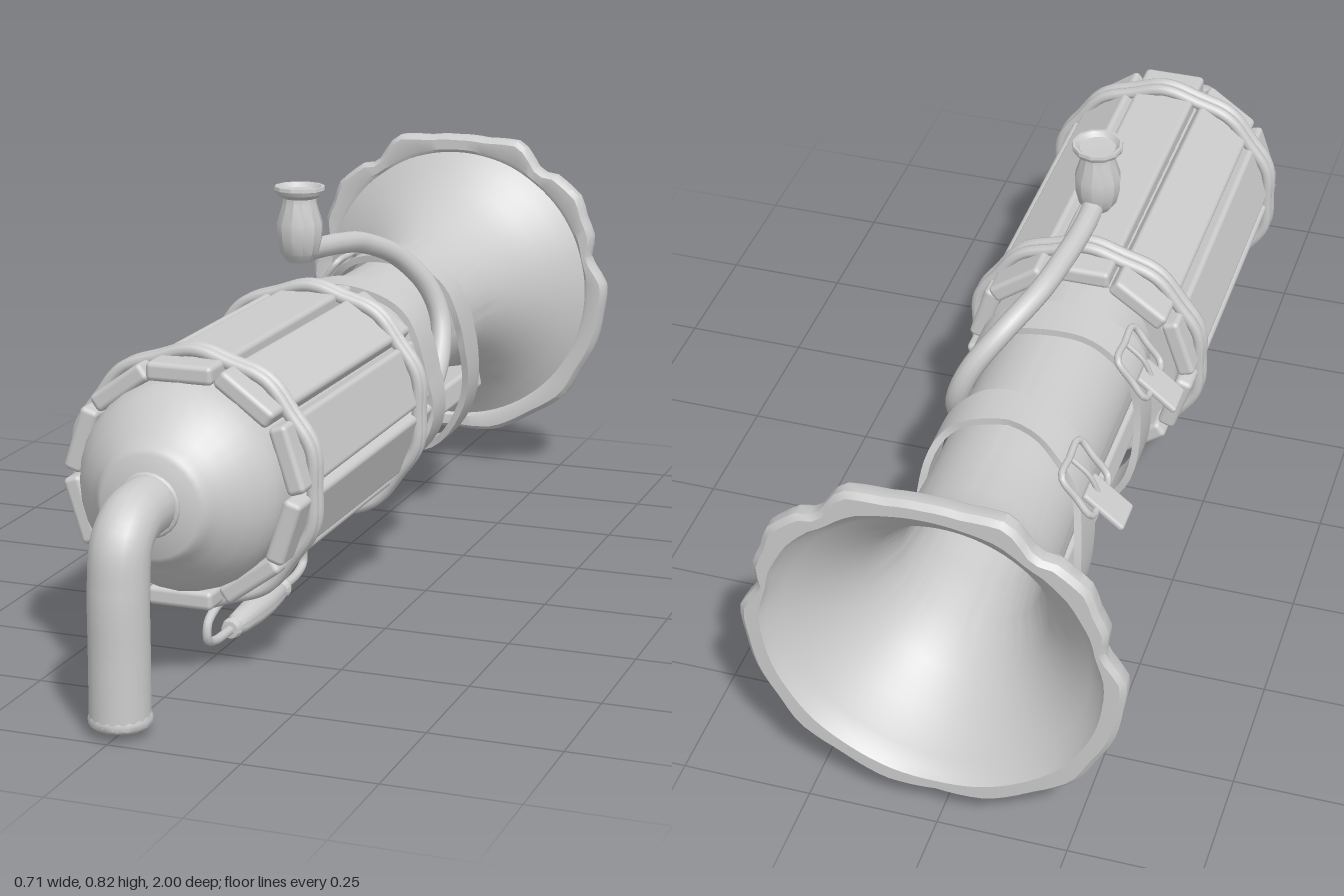
import * as THREE from 'three';
import { mergeVertices, toCreasedNormals } from 'three/addons/utils/BufferGeometryUtils.js';
import { RoundedBoxGeometry } from 'three/addons/geometries/RoundedBoxGeometry.js';

const V = (x, y, z) => new THREE.Vector3(x, y, z);
const grey = new THREE.MeshStandardMaterial({ color: 0xcccccc });
const greyDouble = new THREE.MeshStandardMaterial({ color: 0xcccccc, side: THREE.DoubleSide });
const BODY_Y = 0.38, NECK_Y = 0.43;

function add(parent, name, geometry, x = 0, y = 0, z = 0, material = grey) {
  const mesh = new THREE.Mesh(geometry, material);
  mesh.name = name;
  mesh.position.set(x, y, z);
  parent.add(mesh);
  return mesh;
}

// Profile of [radius, height] pairs turned around the y axis
const lathe = (profile, sides) =>
  new THREE.LatheGeometry(profile.map(([r, h]) => new THREE.Vector2(r, h)), sides);

// The same, turned around the z axis
const latheZ = (profile, sides) => lathe(profile, sides).rotateX(Math.PI / 2);

const tube = (points, radius, segments = 48, sides = 10, closed = false) =>
  new THREE.TubeGeometry(new THREE.CatmullRomCurve3(points, closed), segments, radius, sides, closed);

// Ragged rim radius against height angle in degrees, same on both sides
const RIM = [[-90, 0.345], [-74, 0.358], [-58, 0.352], [-43, 0.363], [-32, 0.353], [-20, 0.356], [-8, 0.353],
  [3, 0.358], [14, 0.326], [22, 0.35], [30, 0.353], [37, 0.366], [50, 0.355], [54, 0.335], [66, 0.372], [78, 0.351],
  [90, 0.348]];
function rimRadius(deg) {
  const i = Math.max(1, RIM.findIndex(([a]) => deg <= a + 0.01));
  const [a, r] = RIM[i - 1], [b, s] = RIM[i];
  return r + (s - r) * (deg - a) / (b - a);
}

function hornGeometry() {
  const geo = latheZ([[0, -0.3], [0.118, -0.3], [0.122, -0.66], [0.135, -0.76], [0.175, -0.85], [0.23, -0.92],
    [0.285, -0.965], [0.308, -0.985], [0.318, -1], [0.345, -1], [0.355, -0.99], [0.355, -0.968], [0.345, -0.956],
    [0.318, -0.956], [0.31, -0.962], [0.275, -0.94], [0.235, -0.905], [0.195, -0.85], [0.168, -0.79], [0.15, -0.72],
    [0.145, -0.6], [0.145, -0.04]], 96);
  const p = geo.attributes.position;
  for (let i = 0; i < p.count; i++) {
    const x = p.getX(i), y = p.getY(i);
    const t = THREE.MathUtils.smoothstep(Math.hypot(x, y), 0.305, 0.345);
    const deg = THREE.MathUtils.radToDeg(Math.atan2(y, Math.abs(x)));
    const k = 1 + t * (rimRadius(deg) / 0.355 - 1);
    p.setXY(i, x * k, y * k);
  }
  geo.deleteAttribute('normal');
  geo.deleteAttribute('uv');
  return toCreasedNormals(mergeVertices(geo), 0.7);
}

// Closed band of given width and thickness following a counterclockwise loop of [x, y] points
function strapGeometry(loop, width, thickness, zAt) {
  const curve = new THREE.CatmullRomCurve3(loop.map(([x, y]) => V(x, y, 0)), true);
  const n = 56, pos = [], idx = [];
  for (let i = 0; i < n; i++) {
    const c = curve.getPoint(i / n), t = curve.getTangent(i / n);
    const z = zAt(c.x, c.y), w = width / 2 * (1 + 0.08 * Math.sin(i * 0.7));
    for (const [side, out] of [[-1, 0], [-1, 1], [1, 1], [1, 0]])
      pos.push(c.x + t.y * out * thickness, c.y - t.x * out * thickness, z + side * w);
    for (let k = 0; k < 4; k++) {
      const a = i * 4 + k, b = i * 4 + (k + 1) % 4, j = ((i + 1) % n) * 4;
      const c2 = j + k, d = j + (k + 1) % 4;
      idx.push(a, c2, b, b, c2, d);
    }
  }
  const geo = new THREE.BufferGeometry();
  geo.setAttribute('position', new THREE.Float32BufferAttribute(pos, 3));
  geo.setIndex(idx);
  return toCreasedNormals(geo, 0.8);
}

// Wire frame, prong and loose strap end
function buckle(parent, x, y, z, angle) {
  const g = new THREE.Group();
  g.name = 'buckle';
  g.position.set(x, y, z);
  g.rotation.z = angle;
  const w = 0.048, d = 0.056;
  const frame = [[-w, -d], [0, -d - 0.003], [w, -d], [w + 0.003, 0], [w, d], [0, d + 0.003], [-w, d], [-w - 0.003, 0]];
  add(g, 'buckleFrame', tube(frame.map(([a, b]) => V(a, 0.016, b)), 0.007, 40, 8, true));
  add(g, 'buckleProng', tube([V(-w, 0.016, 0), V(0, 0.026, 0), V(w, 0.016, 0)], 0.005, 10, 6));
  const end = add(g, 'strapEnd', new RoundedBoxGeometry(0.1, 0.014, 0.07, 2, 0.006), -0.065, 0.022, 0);
  end.rotation.z = -0.25;
  parent.add(g);
}

function plankGeometry(i, length) {
  const geo = new RoundedBoxGeometry(0.127, 0.036, length, 2, 0.01);
  const p = geo.attributes.position;
  for (let k = 0; k < p.count; k++) {
    const s = 1 + 0.04 * Math.sin(i * 2.3 + Math.sign(p.getZ(k)) * 1.4 + Math.sign(p.getX(k)));
    p.setX(k, p.getX(k) * s);
  }
  return geo;
}

export function createModel() {
  const model = new THREE.Group();
  model.name = 'hornDevice';

  // Flared horn with its neck
  add(model, 'horn', hornGeometry(), 0, NECK_Y, 0, greyDouble);

  // Barrel core and domed nose
  add(model, 'barrelCore', toCreasedNormals(latheZ([[0, -0.055], [0.197, -0.055], [0.197, 0.665], [0.193, 0.682],
    [0.182, 0.705], [0.158, 0.737], [0.13, 0.765], [0.112, 0.785], [0.104, 0.8], [0.095, 0.806], [0, 0.806]], 32), 0.7),
    0, BODY_Y, 0);

  // Planks around the barrel
  for (let i = 0; i < 10; i++) {
    const a = Math.PI / 2 + i * Math.PI / 5;
    const back = -0.075 + 0.012 * Math.sin(i * 4.1), front = 0.665 + 0.012 * Math.sin(i * 2.7 + 1);
    const plank = add(model, 'plank', plankGeometry(i, front - back),
      0.211 * Math.cos(a), BODY_Y + 0.211 * Math.sin(a), (front + back) / 2);
    plank.rotation.z = a - Math.PI / 2;
  }

  // Paired wire hoops that dip between the planks
  for (const z of [0.605, 0.58, 0.013, -0.012]) {
    const pts = [];
    for (let i = 0; i < 60; i++) {
      const a = i / 60 * Math.PI * 2, r = 0.236 + 0.004 * Math.cos(10 * (a - Math.PI / 2));
      pts.push(V(r * Math.cos(a), r * Math.sin(a), 0));
    }
    add(model, 'hoop', tube(pts, 0.012, 120, 8, true), 0, BODY_Y, z);
  }

  // Bent spout at the front with a lip and closed end
  add(model, 'spout', tube([V(0, 0.385, 0.78), V(0, 0.386, 0.84), V(0, 0.378, 0.89), V(0, 0.345, 0.928),
    V(0, 0.27, 0.941), V(0, 0.15, 0.942), V(0, 0.03, 0.943)], 0.055, 40, 18));
  add(model, 'spoutLip', toCreasedNormals(lathe([[0, 0.022], [0.052, 0.022], [0.057, 0.027], [0.058, 0.038],
    [0.054, 0.047]], 18), 0.7), 0, 0, 0.941);
  add(model, 'spoutCollar', new THREE.TorusGeometry(0.054, 0.007, 8, 24), 0, 0.385, 0.81);

  // Mouthpiece and its curling pipe
  add(model, 'mouthpiece', toCreasedNormals(lathe([[0, 0.675], [0.025, 0.678], [0.038, 0.695], [0.045, 0.725],
    [0.046, 0.755], [0.034, 0.795], [0.033, 0.805], [0.047, 0.814], [0.051, 0.822], [0.05, 0.829], [0.044, 0.829],
    [0.036, 0.82], [0, 0.818]], 12), 0.5), -0.004, 0, 0.05);
  add(model, 'mouthPipe', tube([V(-0.004, 0.74, 0.05), V(-0.002, 0.7, 0.03), V(0, 0.688, -0.04), V(0.01, 0.68, -0.13),
    V(0.03, 0.665, -0.23), V(0.075, 0.625, -0.315), V(0.125, 0.56, -0.36), V(0.155, 0.49, -0.365),
    V(0.168, 0.42, -0.33), V(0.17, 0.355, -0.26), V(0.168, 0.32, -0.17), V(0.165, 0.312, -0.04)], 0.022, 80, 12));

  // Bars lashed beneath the neck
  for (const [x, y, w, h, end, turn] of [[0.075, 0.262, 0.11, 0.055, -0.75, 0.2], [-0.075, 0.262, 0.1, 0.055, -0.7, -0.2],
    [0, 0.215, 0.13, 0.07, -0.6, 0]]) {
    const bar = add(model, 'bar', new RoundedBoxGeometry(w, h, -0.04 - end, 2, 0.01), x, y, (end - 0.04) / 2);
    bar.rotation.z = turn;
  }

  // Straight and slanted straps around neck and bars
  add(model, 'straightStrap', strapGeometry([[0.18, 0.4], [0.14, 0.52], [0.06, 0.568], [-0.06, 0.568], [-0.14, 0.515],
    [-0.165, 0.4], [-0.145, 0.26], [-0.07, 0.178], [0.07, 0.178], [0.16, 0.25], [0.19, 0.32]], 0.085, 0.014,
    (x, y) => -0.215 + 0.06 * (y - 0.37)));
  add(model, 'slantedStrap', strapGeometry([[0.155, 0.42], [0.125, 0.52], [0.06, 0.57], [-0.06, 0.57], [-0.125, 0.52],
    [-0.152, 0.42], [-0.145, 0.27], [-0.07, 0.158], [0.07, 0.158], [0.15, 0.27]], 0.085, 0.014,
    (x, y) => -0.54 + 0.25 * (y - 0.37) + 0.3 * Math.min(x, 0)));
  buckle(model, -0.15, 0.51, -0.21, 0.95);
  buckle(model, -0.145, 0.51, -0.565, 0.95);

  // Carrying handle under the barrel
  add(model, 'handleGrip', toCreasedNormals(latheZ([[0, -0.145], [0.017, -0.143], [0.021, -0.13], [0.015, -0.118],
    [0.022, -0.1], [0.027, -0.03], [0.027, 0.03], [0.022, 0.1], [0.015, 0.118], [0.021, 0.13], [0.017, 0.143],
    [0, 0.145]], 14), 0.7), 0, 0.032, 0.295);
  for (const s of [1, -1])
    add(model, 'handleWire', tube([[0.29, 0.145], [0.225, 0.14], [0.18, 0.13], [0.178, 0.108], [0.215, 0.098],
      [0.25, 0.08], [0.252, 0.05], [0.22, 0.036], [0.135, 0.032]].map(([z, y]) => V(0, y, 0.295 + s * z)), 0.009, 48, 8));

  return model;
}
